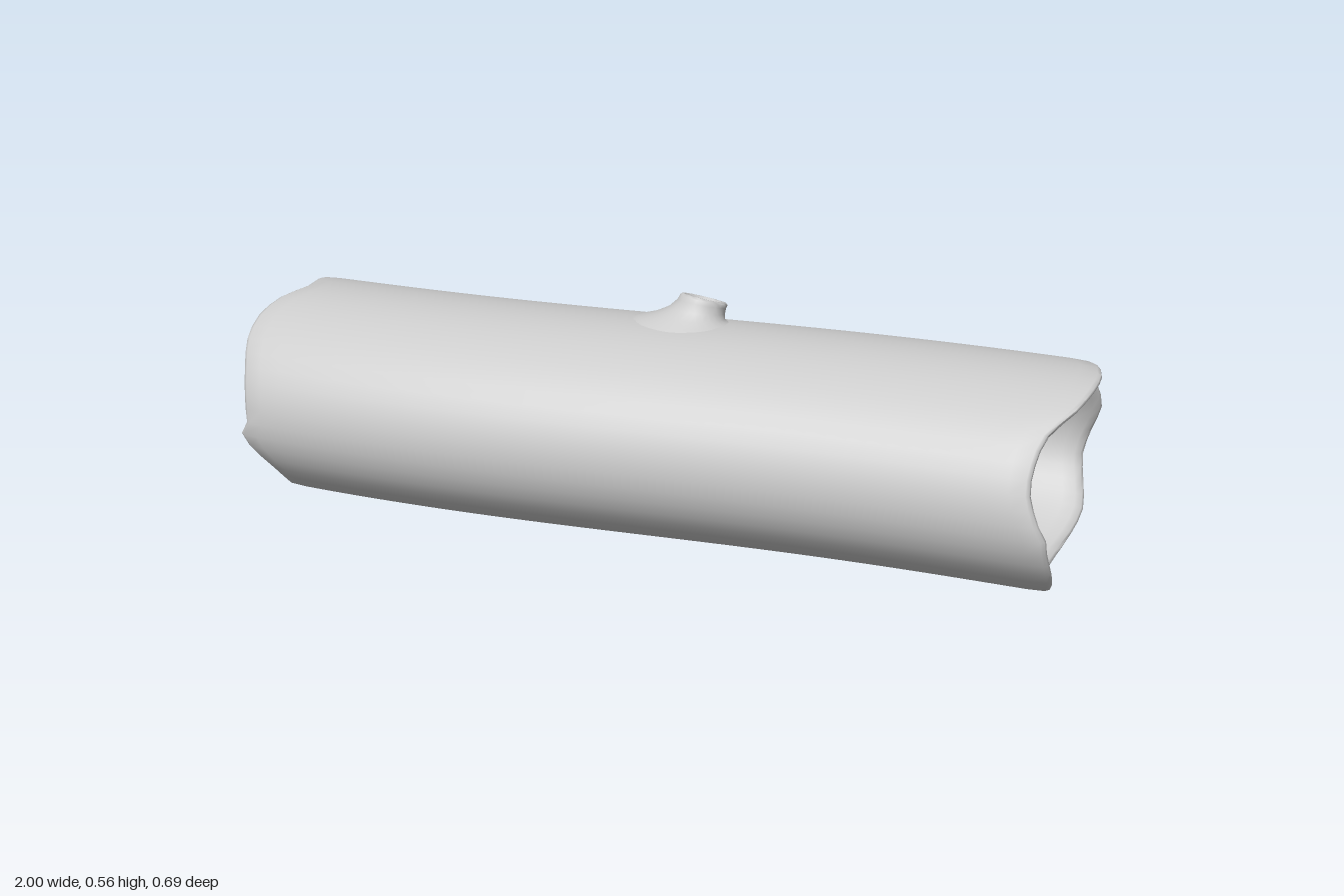
import * as THREE from 'three';
import { toCreasedNormals } from 'three/addons/utils/BufferGeometryUtils.js';

const SEG = 48, HALF_W = 0.322, HALF_H = 0.251, MID_Y = 0.253;

// Length of the ragged ends, every 15 degrees: front, top, back, bottom
const RIGHT_END = [.93, .907, .908, .925, .97, .995, 1, .98, .943, .937, .96, .97,
  .95, .935, .945, .955, .94, .92, .91, .915, .94, .955, .958, .95];
const LEFT_END = [.945, .952, .965, .983, .985, .965, .932, .948, .96, .95, .94, .945,
  .95, .95, .95, .96, .975, .99, .998, .97, .93, .903, .91, .95];

const toCurve = (list) => new THREE.CatmullRomCurve3(
  list.map((v, i) => new THREE.Vector3(v, i, 0)), true);
const rightCurve = toCurve(RIGHT_END), leftCurve = toCurve(LEFT_END);

// Gentle sideways sway of the trunk
const sway = (x) => -0.022 * Math.sin(x * Math.PI / 1.1);

// Skin a series of closed rings; point(row, t) gives a position, t in 0..1
function loft(rows, seg, point, crease) {
  const pos = [], idx = [];
  rows.forEach((row, i) => {
    for (let j = 0; j < seg; j++) {
      pos.push(...point(row, j / seg));
      if (i === rows.length - 1) continue;
      const k = (j + 1) % seg;
      const a = i * seg + j, b = a + seg, c = (i + 1) * seg + k, d = i * seg + k;
      idx.push(a, b, c, a, c, d);
    }
  });
  const g = new THREE.BufferGeometry();
  g.setAttribute('position', new THREE.Float32BufferAttribute(pos, 3));
  g.setIndex(idx);
  return toCreasedNormals(g, crease);
}

function trunkGeometry() {
  // [position along half length, ring scale] from the hollow's floor to the lip
  const hollow = [[0.2, 0], [0.2, 0.5], [0.2, 0.72], [0.215, 0.77], [0.25, 0.8], [0.35, 0.82],
    [0.5, 0.84], [0.7, 0.85], [0.88, 0.86], [0.95, 0.875], [0.98, 0.9], [0.996, 0.93],
    [1, 0.955], [0.998, 0.98], [0.99, 0.993]];
  const rows = hollow.map(([u, s]) => [-u, s]);
  for (let i = -19; i <= 19; i++) rows.push([i / 20, 1]);
  rows.push(...hollow.slice().reverse());

  return loft(rows, SEG, ([u, s], t) => {
    const a = t * Math.PI * 2;
    const x = u * (u > 0 ? rightCurve : leftCurve).getPoint(t).x;
    const r = s * (1 - 0.025 * Math.pow(Math.abs(u), 8));
    return [x, MID_Y + HALF_H * s * Math.sin(a), sway(x) + HALF_W * r * Math.cos(a)];
  }, 0.9);
}

function knotGeometry() {
  // [centre x, centre z, radius x, radius z, rise from bark (0) to cut face (1)]
  const rows = [
    [0.01, -0.045, 0.125, 0.105, -0.08],
    [0.02, -0.05, 0.105, 0.09, 0.05],
    [0.035, -0.06, 0.083, 0.073, 0.2],
    [0.05, -0.068, 0.066, 0.06, 0.45],
    [0.06, -0.074, 0.057, 0.052, 0.75],
    [0.064, -0.076, 0.056, 0.051, 0.92],
    [0.065, -0.077, 0.052, 0.047, 1],
    [0.065, -0.077, 0.045, 0.041, 1],
    [0.064, -0.077, 0.04, 0.036, 0.9],
    [0.063, -0.076, 0.036, 0.032, 0.7],
    [0.062, -0.076, 0.025, 0.022, 0.62],
    [0.062, -0.076, 0, 0, 0.6]];
  return loft(rows, 28, ([cx, cz, rx, rz, rise], t) => {
    const a = t * Math.PI * 2;
    const x = cx + rx * Math.cos(a), z = cz + rz * Math.sin(a);
    const bark = MID_Y + HALF_H * Math.sqrt(1 - ((z - sway(x)) / HALF_W) ** 2);
    const cut = 0.55 + 0.32 * (z - cz) - 0.15 * (x - cx);
    return [x, THREE.MathUtils.lerp(bark, cut, rise), z];
  }, 1.1);
}

export function createModel() {
  const material = new THREE.MeshStandardMaterial({ color: 0xcccccc });
  const model = new THREE.Group();
  model.name = 'hollowLog';
  const add = (name, geometry) => {
    const mesh = new THREE.Mesh(geometry, material);
    mesh.name = name;
    model.add(mesh);
  };
  add('trunk', trunkGeometry());
  add('branchStub', knotGeometry());
  return model;
}
